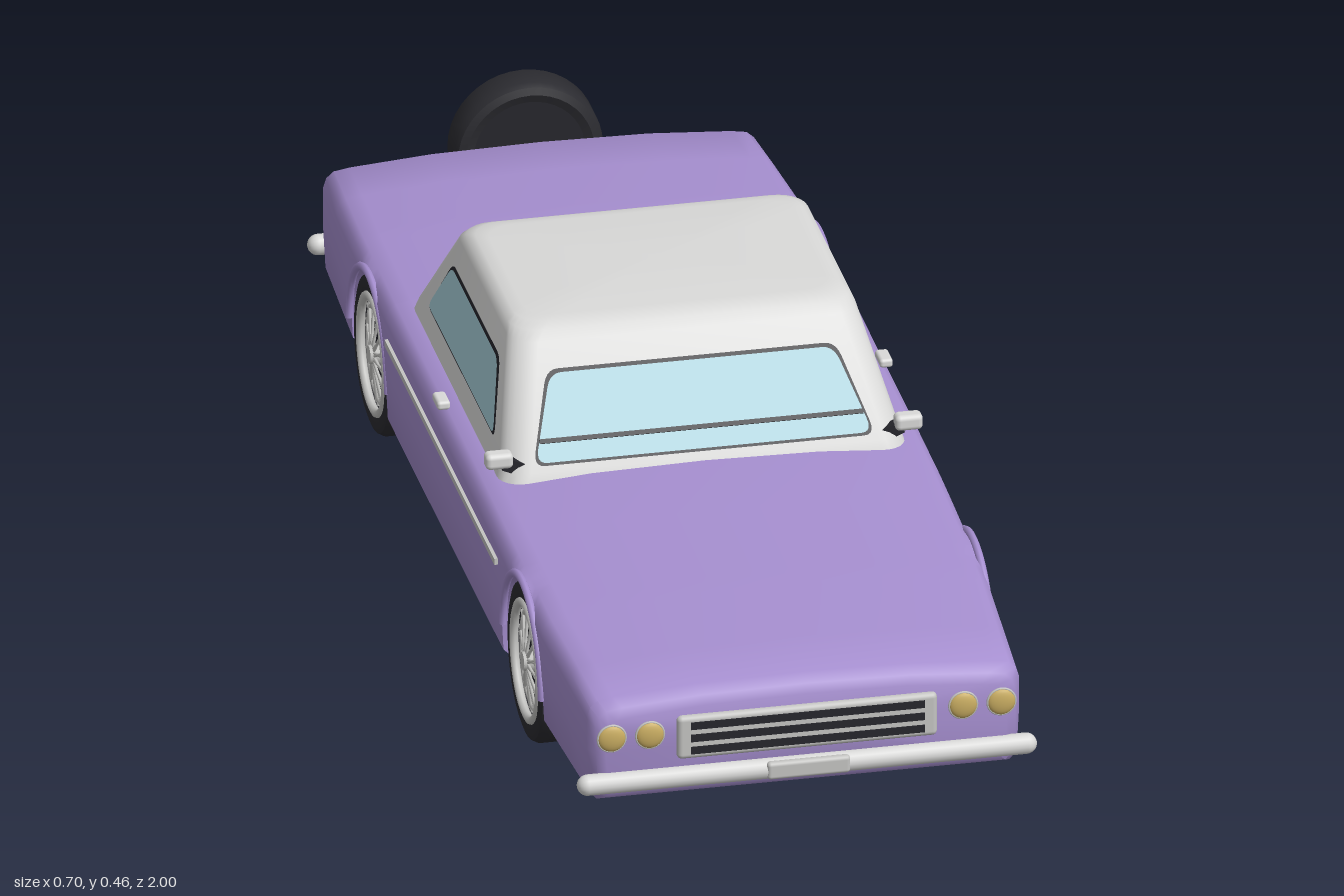
import * as THREE from 'three';
import { toCreasedNormals } from 'three/addons/utils/BufferGeometryUtils.js';
import { RoundedBoxGeometry } from 'three/addons/geometries/RoundedBoxGeometry.js';

const mat = (name, color, side = THREE.FrontSide) => {
  const m = new THREE.MeshStandardMaterial({ color, side });
  m.name = name;
  return m;
};
const paint = mat('lilac paint', 0xa68fd0);
const white = mat('white roof', 0xd9d9d8);
const chrome = mat('chrome', 0xc4c4c2);
const rubber = mat('tyre rubber', 0x2b2b30);
const dark = mat('dark trim', 0x26262c);
const glass = mat('window glass', 0xa8cfd9);
const amber = mat('headlight amber', 0xc9ad62);
const red = mat('tail light red', 0xc4604c);

const WHEELS = [-0.49, 0.572], AXLE_Y = 0.122, ARCH_R = 0.132;

function add(parent, name, geo, material, x = 0, y = 0, z = 0) {
  const m = new THREE.Mesh(geo, material);
  m.name = name;
  m.position.set(x, y, z);
  parent.add(m);
  return m;
}
const box = (w, h, d) => new THREE.BoxGeometry(w, h, d);
const rbox = (w, h, d, r) => new RoundedBoxGeometry(w, h, d, 3, r);

// Linear lookup in a list of [z, value] pairs
function lerpTable(t, z) {
  if (z <= t[0][0]) return t[0][1];
  for (let i = 1; i < t.length; i++) {
    if (z <= t[i][0]) {
      const k = (z - t[i - 1][0]) / (t[i][0] - t[i - 1][0]);
      return t[i - 1][1] + k * (t[i][1] - t[i - 1][1]);
    }
  }
  return t[t.length - 1][1];
}

// Skin over closed rings, with a fan cap at each end
function loft(rings, crease, endRise = 0) {
  const n = rings[0].length, pos = [], idx = [];
  rings.forEach(r => r.forEach(p => pos.push(...p)));
  for (let i = 0; i < rings.length - 1; i++) {
    for (let j = 0; j < n; j++) {
      const k = (j + 1) % n, a = i * n + j, b = i * n + k;
      idx.push(a, b, b + n, a, b + n, a + n);
    }
  }
  [0, rings.length - 1].forEach((ri, end) => {
    const c = pos.length / 3;
    const mid = [0, 1, 2].map(q => rings[ri].reduce((s, p) => s + p[q], 0) / n);
    if (end) mid[1] += endRise;
    pos.push(...mid);
    for (let j = 0; j < n; j++) {
      const a = ri * n + j, b = ri * n + (j + 1) % n;
      idx.push(c, end ? a : b, end ? b : a);
    }
  });
  const g = new THREE.BufferGeometry();
  g.setAttribute('position', new THREE.Float32BufferAttribute(pos, 3));
  g.setIndex(idx);
  return toCreasedNormals(g, crease);
}

// Body cross-section at z, whose floor rises over the wheels
const TOP = [[-0.88, 0.247], [-0.8, 0.254], [-0.6, 0.265], [-0.36, 0.271], [0.3, 0.269], [0.67, 0.256], [0.93, 0.243], [0.98, 0.238]];
const WIDTH = [[-0.88, 0.328], [-0.62, 0.34], [-0.35, 0.345], [0.4, 0.345], [0.7, 0.341], [0.98, 0.326]];
function bodyRing(z, floor, inset = 0) {
  const w = lerpTable(WIDTH, z) - inset, top = lerpTable(TOP, z) - inset, yb = floor + inset;
  const half = [
    [w * 0.5, yb], [w - 0.015, yb], [w - 0.004, Math.min(yb + 0.012, 0.16)], [w, 0.16], [w, top - 0.03],
    [w - 0.005, top - 0.014], [w - 0.016, top - 0.004], [w - 0.04, top], [w * 0.5, top + 0.009]
  ].map(([x, y]) => [x, Math.max(y, yb), z]);
  const other = half.map(([x, y]) => [-x, y, z]).reverse();
  return [[0, yb, z], ...half, [0, top + 0.012, z], ...other];
}
function bodyGeometry() {
  const rings = [[-0.882, 0.022], [-0.876, 0.009], [-0.862, 0]].map(([z, i]) => bodyRing(z, 0.076, i));
  rings.push(bodyRing(-0.75, 0.076));
  WHEELS.forEach((c, w) => {
    rings.push(bodyRing(c - ARCH_R, w ? 0.068 : 0.076));
    for (let i = 0; i <= 18; i++) {
      const a = Math.PI * (1 - i / 18);
      rings.push(bodyRing(c + ARCH_R * Math.cos(a), AXLE_Y + ARCH_R * Math.sin(a) * 0.98));
    }
    rings.push(bodyRing(c + ARCH_R, w ? 0.076 : 0.068));
    if (!w) [-0.2, 0, 0.2, 0.35].forEach(z => rings.push(bodyRing(z, 0.068)));
  });
  rings.push(bodyRing(0.85, 0.076));
  [[0.955, 0], [0.973, 0.009], [0.98, 0.022]].forEach(([z, i]) => rings.push(bodyRing(z, 0.076, i)));
  return loft(rings, 0.75);
}

// Cabin: rounded rectangles that shrink upwards
function cabinRing([y, zf, zb, hw, r]) {
  const ring = [], zc = (zf + zb) / 2, hl = (zf - zb) / 2;
  for (let q = 0; q < 4; q++) {
    const sx = q === 0 || q === 3 ? 1 : -1, sz = q < 2 ? -1 : 1;
    for (let i = 0; i <= 6; i++) {
      const a = (q + i / 6) * Math.PI / 2;
      ring.push([sx * (hw - r) + r * Math.cos(a), y, zc + sz * (hl - r) - r * Math.sin(a)]);
    }
  }
  return ring;
}
const CABIN = [
  [0.255, 0.29, -0.368, 0.312, 0.04], [0.285, 0.28, -0.358, 0.303, 0.04], [0.435, 0.15, -0.25, 0.264, 0.04],
  [0.448, 0.137, -0.237, 0.258, 0.045], [0.455, 0.122, -0.222, 0.247, 0.045], [0.457, 0.105, -0.205, 0.23, 0.045]
];
const frontZ = y => 0.28 - 0.867 * (y - 0.285);
const backZ = y => -0.358 + 0.72 * (y - 0.285);
const sideX = y => 0.303 - 0.26 * (y - 0.285);

// Window pane: rounded quad laid on a sloping cabin face
function pane(bl, br, tl, tr, y0, y1, grow, place) {
  const c = [[bl - grow, y0 - grow], [br + grow, y0 - grow], [tr + grow, y1 + grow], [tl - grow, y1 + grow]]
    .map(p => new THREE.Vector2(...p));
  const s = new THREE.Shape();
  c.forEach((p, i) => {
    const toward = q => p.clone().add(q.clone().sub(p).setLength(0.018));
    const a = toward(c[(i + 3) % 4]), b = toward(c[(i + 1) % 4]);
    if (i) s.lineTo(a.x, a.y); else s.moveTo(a.x, a.y);
    s.quadraticCurveTo(p.x, p.y, b.x, b.y);
  });
  s.closePath();
  const g = new THREE.ShapeGeometry(s, 5), P = g.attributes.position;
  for (let i = 0; i < P.count; i++) P.setXYZ(i, ...place(P.getX(i), P.getY(i)));
  g.computeVertexNormals();
  return g;
}
function addWindow(parent, name, dims, place) {
  add(parent, name + 'Seal', pane(...dims, 0.004, (u, y) => place(u, y, 0.003)), dark);
  add(parent, name, pane(...dims, 0, (u, y) => place(u, y, 0.005)), glass);
}

// Wire wheel, outer face towards +z
function makeWheel(name, R) {
  const g = new THREE.Group(), k = R / 0.123;
  g.name = name;
  const lathe = pts => new THREE.LatheGeometry(pts.map(p => new THREE.Vector2(p[0] * k, p[1])), 40).rotateX(Math.PI / 2);
  add(g, 'tyre', toCreasedNormals(lathe([[0.092, -0.03], [0.106, -0.035], [0.118, -0.031], [0.123, -0.022], [0.123, 0.022],
    [0.118, 0.031], [0.106, 0.035], [0.092, 0.03], [0.092, -0.03]]), 0.7), rubber);
  add(g, 'wheelBack', new THREE.CylinderGeometry(0.093 * k, 0.093 * k, 0.04, 32).rotateX(Math.PI / 2), dark, 0, 0, -0.009);
  add(g, 'rim', new THREE.TorusGeometry(0.089 * k, 0.007, 8, 40), chrome, 0, 0, 0.029);
  add(g, 'innerRim', new THREE.TorusGeometry(0.076 * k, 0.004, 6, 40), chrome, 0, 0, 0.02);
  add(g, 'hub', new THREE.CylinderGeometry(0.014, 0.02, 0.03, 20).rotateX(Math.PI / 2), chrome, 0, 0, 0.021);
  for (let i = 0; i < 24; i++) {
    const a = i * Math.PI / 12, lean = i % 2 ? 0.2 : -0.2;
    const from = new THREE.Vector3(0.014 * Math.cos(a), 0.014 * Math.sin(a), 0.03);
    const to = new THREE.Vector3(0.088 * k * Math.cos(a + lean), 0.088 * k * Math.sin(a + lean), 0.02);
    add(g, 'spoke', new THREE.TubeGeometry(new THREE.LineCurve3(from, to), 1, 0.0024, 5), chrome);
  }
  return g;
}

export function createModel() {
  const car = new THREE.Group();
  car.name = 'car';
  add(car, 'body', bodyGeometry(), paint);
  add(car, 'chassis', box(0.49, 0.19, 1.33), dark, 0, 0.147, 0.04);
  add(car, 'cabin', loft(CABIN.map(cabinRing), 0.8, 0.003), white);

  // Windows
  addWindow(car, 'windscreen', [-0.255, 0.255, -0.215, 0.215, 0.297, 0.4], (u, y, d) => [u, y, frontZ(y) + d]);
  addWindow(car, 'rearWindow', [-0.25, 0.25, -0.22, 0.22, 0.302, 0.395], (u, y, d) => [-u, y, backZ(y) - d]);
  const wiper = add(car, 'wiperBar', box(0.49, 0.007, 0.004), dark, 0, 0.322, frontZ(0.322) + 0.005);
  wiper.rotation.x = -0.71;

  // Grille
  add(car, 'grille', rbox(0.394, 0.07, 0.018, 0.008), chrome, 0, 0.177, 0.98);
  for (const y of [0.197, 0.177, 0.157]) add(car, 'grilleSlot', box(0.354, 0.012, 0.004), dark, 0, y, 0.9885);

  // Bumpers and number plates
  for (const [name, y, z] of [['frontBumper', 0.113, 0.982], ['rearBumper', 0.117, -0.882]]) {
    add(car, name, new THREE.CapsuleGeometry(0.016, 0.664, 6, 16).rotateZ(Math.PI / 2), white, 0, y, z);
  }
  add(car, 'frontPlate', rbox(0.126, 0.028, 0.014, 0.006), chrome, 0, 0.114, 0.993);
  add(car, 'rearPlate', rbox(0.12, 0.034, 0.01, 0.004), chrome, 0.19, 0.117, -0.898);

  for (const s of [-1, 1]) {
    // Lights
    for (const x of [0.237, 0.295]) {
      add(car, 'headlightRing', new THREE.TorusGeometry(0.021, 0.002, 6, 28), chrome, s * x, 0.185, 0.981);
      add(car, 'headlight', new THREE.SphereGeometry(0.021, 24, 12).scale(1, 1, 0.35), amber, s * x, 0.185, 0.981);
    }
    for (const x of [0.16, 0.215, 0.27]) {
      add(car, 'tailLight', new THREE.SphereGeometry(0.015, 18, 10).scale(1, 1, 0.4), red, s * x, 0.2, -0.882);
    }
    // Side glass and trim
    addWindow(car, 'sideWindow', [s > 0 ? -0.19 : -0.26, s > 0 ? 0.26 : 0.19, s > 0 ? -0.115 : -0.2, s > 0 ? 0.2 : 0.115, 0.31, 0.398],
      (u, y, d) => [s * (sideX(y) + d), y, -s * u]);
    add(car, 'sideTrim', box(0.008, 0.01, 0.76), chrome, s * 0.346, 0.215, 0.04);
    add(car, 'doorHandle', rbox(0.02, 0.014, 0.04, 0.005), white, s * 0.335, 0.272, -0.015);
    // Door mirrors
    add(car, 'mirrorStalk', box(0.03, 0.02, 0.015), dark, s * 0.287, 0.292, 0.262).rotation.z = s * 0.4;
    add(car, 'mirror', rbox(0.042, 0.025, 0.026, 0.008), white, s * 0.31, 0.306, 0.266);
    // Wheels and arch lips
    for (const z of WHEELS) {
      const w = makeWheel('wheel', 0.123);
      w.position.set(s * 0.305, 0.123, z);
      w.rotation.y = s * Math.PI / 2;
      car.add(w);
      const lip = add(car, 'archLip', new THREE.TorusGeometry(0.133, 0.006, 8, 32, Math.PI), paint, s * 0.341, AXLE_Y, z);
      lip.rotation.y = Math.PI / 2;
    }
  }

  // Spare wheel on its rear carrier
  const spare = makeWheel('spareWheel', 0.113);
  spare.position.set(0, 0.207, -0.965);
  spare.rotation.y = Math.PI;
  car.add(spare);
  add(car, 'carrierShelf', box(0.165, 0.008, 0.12), white, 0, 0.098, -0.93);
  add(car, 'carrierPost', box(0.03, 0.12, 0.012), chrome, 0, 0.155, -0.924);
  add(car, 'carrierArm', box(0.03, 0.012, 0.06), chrome, 0, 0.212, -0.905);
  return car;
}
